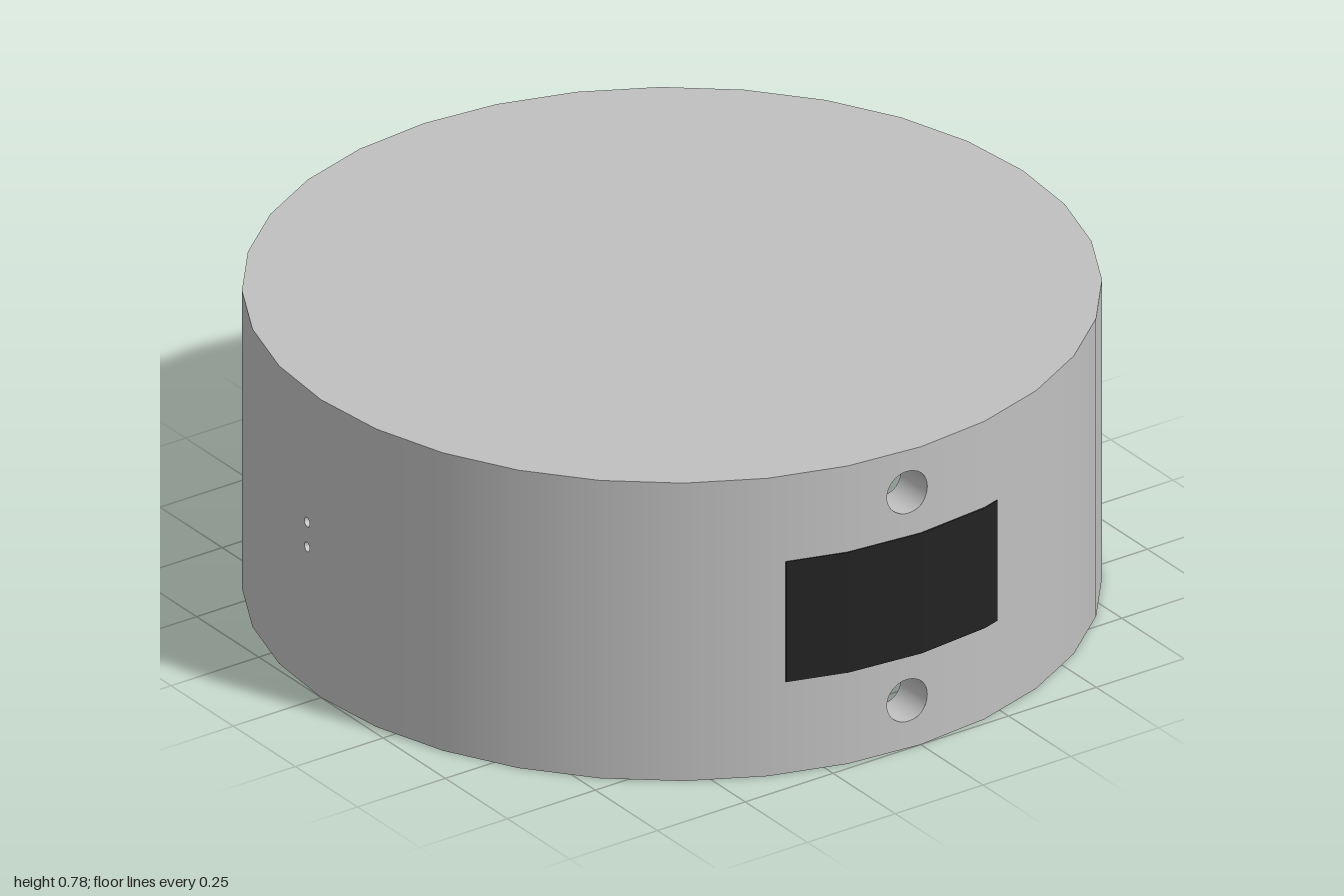
import * as THREE from 'three';

const SIDES = 32, STEP = (Math.PI * 2) / SIDES;
const R_OUT = 1, R_IN = 0.895, HEIGHT = 0.78, CEILING = 0.74;

// Distance of the faceted wall from the axis at sideways offset u
function wallDepth(u, r) {
  const k = Math.floor(Math.asin(u / r) / STEP + 1e-6);
  const u0 = r * Math.sin(k * STEP), u1 = r * Math.sin((k + 1) * STEP);
  const t = (u - u0) / (u1 - u0);
  return r * (Math.cos(k * STEP) * (1 - t) + Math.cos((k + 1) * STEP) * t);
}

// Closed loops of [x, y, z] points joined into a surface
function loft(loops, radialNormals) {
  const n = loops[0].length, index = [];
  for (let j = 0; j < loops.length - 1; j++) {
    for (let i = 0; i < n; i++) {
      const a = j * n + i, b = j * n + ((i + 1) % n);
      index.push(a, a + n, b, b, a + n, b + n);
    }
  }
  const geo = new THREE.BufferGeometry();
  geo.setAttribute('position', new THREE.Float32BufferAttribute(loops.flat(2), 3));
  geo.setIndex(index);
  geo.computeVertexNormals();
  if (radialNormals) {
    const p = geo.attributes.position, nor = geo.attributes.normal;
    for (let i = 0; i < p.count; i++) {
      const l = Math.hypot(p.getX(i), p.getZ(i));
      nor.setXYZ(i, p.getX(i) / l, 0, p.getZ(i) / l);
    }
  }
  return geo;
}

// Loops from a round hole out to the edges of a wall section
function holeLoops(r, k0, k1, y0, y1, hole) {
  const u0 = r * Math.sin(k0 * STEP), u1 = r * Math.sin(k1 * STEP);
  const corners = [[u0, y0], [u1, y0], [u1, y1], [u0, y1]];
  const n = 16, rings = 10, loops = [];
  for (let j = 0; j <= rings; j++) {
    const loop = [], f = j / rings;
    for (let i = 0; i < 4 * n; i++) {
      const a = corners[Math.floor(i / n)], b = corners[(Math.floor(i / n) + 1) % 4];
      const t = (i % n) / n;
      const eu = a[0] + (b[0] - a[0]) * t, ey = a[1] + (b[1] - a[1]) * t;
      const ang = Math.atan2(ey - hole.y, eu - hole.u);
      const u = (hole.u + hole.r * Math.cos(ang)) * (1 - f) + eu * f;
      const y = (hole.y + hole.r * Math.sin(ang)) * (1 - f) + ey * f;
      loop.push([u, y, wallDepth(u, r)]);
    }
    loops.push(loop);
  }
  return loops;
}

export function createModel() {
  const group = new THREE.Group();
  const shellGrey = new THREE.MeshStandardMaterial({ color: 0xc0c0c0, side: THREE.DoubleSide });
  shellGrey.name = 'shell grey';
  const screenBlack = new THREE.MeshStandardMaterial({ color: 0x222222 });
  screenBlack.name = 'screen black';

  const add = (name, geo, mat = shellGrey) => {
    const mesh = new THREE.Mesh(geo, mat);
    mesh.name = name;
    group.add(mesh);
    return mesh;
  };

  // Plain stretches of the outer and inner wall
  for (const [k0, k1] of [[0, 7], [9, 22], [26, 31]]) {
    const arc = (r, h) => new THREE.CylinderGeometry(
      r, r, h, k1 - k0, 1, true, k0 * STEP, (k1 - k0) * STEP).translate(0, h / 2, 0);
    add('outerWall', arc(R_OUT, HEIGHT));
    add('innerWall', arc(R_IN, CEILING));
  }

  // Wall sections pierced by round holes
  const pierced = (name, turn, k0, k1, y0, y1, hole) => {
    const outer = holeLoops(R_OUT, k0, k1, y0, y1, hole);
    const inner = holeLoops(R_IN, k0, k1, y0, Math.min(y1, CEILING), hole);
    // Lining of the hole, straight through the wall
    const rim = (r) => Array.from({ length: 48 }, (_, i) => {
      const a = (i / 48) * Math.PI * 2, u = hole.u + hole.r * Math.cos(a);
      return [u, hole.y + hole.r * Math.sin(a), wallDepth(u, r)];
    });
    add(name + 'OuterWall', loft(outer, true).rotateY(turn));
    add(name + 'InnerWall', loft(inner, true).rotateY(turn));
    add(name + 'Lining', loft([rim(R_OUT), rim(R_IN)], false).rotateY(turn));
  };
  const left = Math.PI / 2, right = -Math.PI / 2;
  pierced('upperScrewHole', left, -1, 1, 0.39, HEIGHT, { u: -0.035, y: 0.67, r: 0.055 });
  pierced('lowerScrewHole', left, -1, 1, 0, 0.39, { u: -0.035, y: 0.125, r: 0.055 });
  pierced('upperPinhole', 0, -1, 0, 0.3975, HEIGHT, { u: -0.065, y: 0.43, r: 0.012 });
  pierced('lowerPinhole', 0, -1, 0, 0, 0.3975, { u: -0.065, y: 0.365, r: 0.012 });
  pierced('port', right, -2, 2, 0, HEIGHT, { u: 0.035, y: 0.39, r: 0.235 });

  // Recessed disc closing the large port
  add('portDisc', new THREE.CylinderGeometry(0.235, 0.235, 0.06, 48).rotateZ(Math.PI / 2))
    .position.set(-0.93, 0.39, 0.035);

  // Lid, ceiling and bottom rim
  add('lid', new THREE.CircleGeometry(R_OUT, SIDES).rotateX(-Math.PI / 2)).position.y = HEIGHT;
  add('ceiling', new THREE.CircleGeometry(R_IN, SIDES).rotateX(Math.PI / 2)).position.y = CEILING;
  add('bottomRim', new THREE.RingGeometry(R_IN, R_OUT, SIDES).rotateX(Math.PI / 2));

  // Thin dark screen following the facets of the wall
  const across = [-0.34, -Math.sin(STEP), 0, Math.sin(STEP), 0.24];
  const outline = [
    ...across.map((u) => new THREE.Vector2(wallDepth(u, R_OUT) + 0.003, u)),
    ...across.slice().reverse().map((u) => new THREE.Vector2(wallDepth(u, R_OUT) - 0.003, u)),
  ];
  add('screen', new THREE.ExtrudeGeometry(new THREE.Shape(outline), { depth: 0.315, bevelEnabled: false })
    .rotateX(-Math.PI / 2), screenBlack).position.y = 0.24;

  return group;
}
